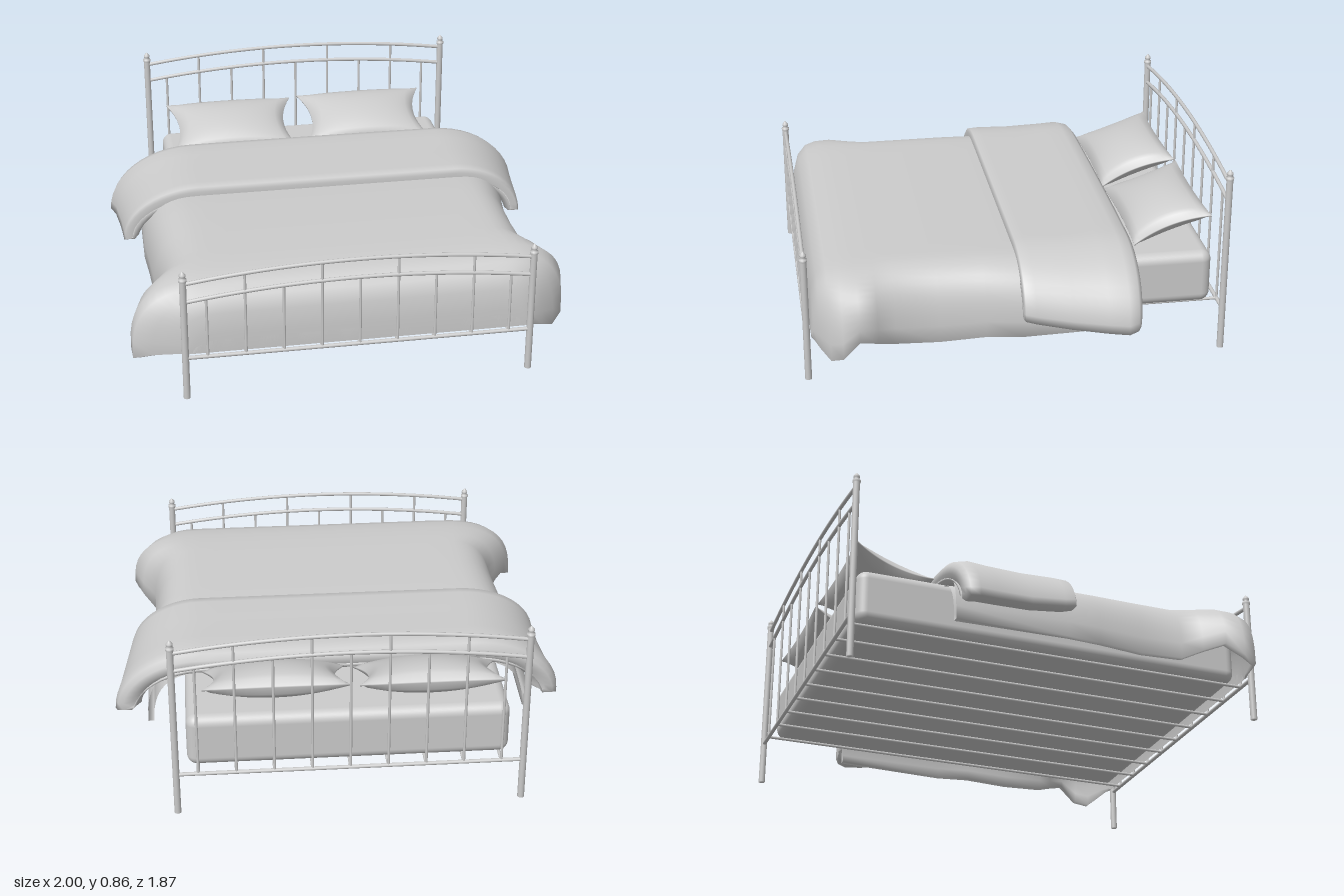
import * as THREE from 'three';
import { mergeVertices } from 'three/addons/utils/BufferGeometryUtils.js';
import { RoundedBoxGeometry } from 'three/addons/geometries/RoundedBoxGeometry.js';

const material = new THREE.MeshStandardMaterial({ color: 0xcccccc });
const clothMaterial = new THREE.MeshStandardMaterial({ color: 0xcccccc, side: THREE.DoubleSide });
const MID = -0.018; // centre line of the metal frame
const HALF = 0.747; // from the centre line to a post
const BASE = 0.195; // height of the bed base

function add(parent, name, geometry, x = 0, y = 0, z = 0, mat = material) {
  const mesh = new THREE.Mesh(geometry, mat);
  mesh.name = name;
  mesh.position.set(x, y, z);
  parent.add(mesh);
  return mesh;
}

// Post with a collar and a pointed ball on top
function postGeometry(height) {
  const h = height;
  const profile = [[0, 0], [0.015, 0], [0.015, h - 0.05], [0.018, h - 0.046], [0.018, h - 0.036], [0.009, h - 0.032],
    [0.014, h - 0.024], [0.014, h - 0.016], [0.006, h - 0.006], [0, h]];
  return new THREE.LatheGeometry(profile.map(([r, y]) => new THREE.Vector2(r, y)), 14);
}

// Head or foot end: posts, two arched rails, a base rail and upright bars
function bedEnd(name, z, height, upper, lower, rise) {
  const group = new THREE.Group();
  group.name = name;
  for (const side of [-1, 1]) add(group, 'post', postGeometry(height), MID + side * HALF, 0, z);
  for (const end of [upper, lower]) {
    const points = [];
    for (let i = -6; i <= 6; i++) {
      const s = i / 6;
      points.push(new THREE.Vector3(MID + s * HALF, end + rise * (1 - s * s), z));
    }
    add(group, 'archedRail', new THREE.TubeGeometry(new THREE.CatmullRomCurve3(points), 32, 0.009, 8), 0, 0, 0);
  }
  const baseRail = add(group, 'baseRail', new THREE.CylinderGeometry(0.009, 0.009, HALF * 2, 10), MID, BASE, z);
  baseRail.rotation.z = Math.PI / 2;
  for (let i = -4; i <= 4; i++) {
    const s = i * 0.163 / HALF;
    const top = (i % 2 ? upper : lower) + rise * (1 - s * s);
    add(group, 'uprightBar', new THREE.CylinderGeometry(0.006, 0.006, top - BASE, 8),
      MID + s * HALF, (top + BASE) / 2, z);
  }
  return group;
}

// Draped cloth. Row: z, top height, left reach, left hem, right reach, right hem,
// thickness, and how far the sides pull towards the front
function drape(rows, power) {
  const N = 40, core = 0.6;
  const positions = [], index = [];
  for (const [z, top, reachL, hemL, reachR, hemR, thick = 0.03, pull = 0] of rows) {
    for (let j = 0; j <= 2 * N + 1; j++) {
      const inner = j > N;
      const t = (inner ? 2 * N + 1 - j : j) / N * 2 - 1;
      const s = Math.abs(t);
      const reach = t < 0 ? reachL : reachR, hem = t < 0 ? hemL : hemR;
      let x = s / 0.4 * core, y = top;
      if (s > 0.4) {
        const a = (s - 0.4) / 0.6 * Math.PI / 2;
        x = core + (reach - core) * Math.sin(a) ** power;
        y = hem + (top - hem) * Math.max(0, Math.cos(a)) ** power;
      }
      if (inner) {
        x *= 1 - thick;
        y = Math.max(y - thick, Math.min(hem, y));
      }
      positions.push(Math.sign(t) * x, y, z + pull * s * s);
    }
  }
  const M = 2 * N + 2;
  for (let i = 0; i < rows.length - 1; i++) {
    for (let j = 0; j < M; j++) {
      const a = i * M + j, b = i * M + (j + 1) % M;
      index.push(a, a + M, b, b, a + M, b + M);
    }
  }
  const geometry = new THREE.BufferGeometry();
  geometry.setAttribute('position', new THREE.Float32BufferAttribute(positions, 3));
  geometry.setIndex(index);
  geometry.computeVertexNormals();
  return geometry;
}

// Pillow with pointed corners and drawn-in edges
function pillowGeometry(halfWidth, halfDepth, thickness) {
  let geometry = new THREE.BoxGeometry(2, 2, 2, 24, 1, 18);
  geometry.deleteAttribute('normal');
  geometry.deleteAttribute('uv');
  const p = geometry.attributes.position;
  for (let i = 0; i < p.count; i++) {
    const u = p.getX(i), v = p.getZ(i);
    const puff = ((1 - u * u) * (1 - v * v)) ** 0.5;
    p.setXYZ(i,
      u * halfWidth * (1 - 0.17 * (1 - v * v)),
      p.getY(i) * thickness * (0.04 + 0.96 * puff),
      v * halfDepth * (1 - 0.05 * (1 - u * u)));
  }
  geometry = mergeVertices(geometry);
  geometry.computeVertexNormals();
  return geometry;
}

export function createModel() {
  const bed = new THREE.Group();
  bed.name = 'bed';

  // Metal frame
  bed.add(bedEnd('headboard', -0.92, 0.86, 0.795, 0.71, 0.055));
  bed.add(bedEnd('footboard', 0.915, 0.61, 0.548, 0.462, 0.055));
  for (let i = -4; i <= 4; i++) {
    const bar = add(bed, 'baseBar', new THREE.CylinderGeometry(0.007, 0.007, 1.835, 8), MID + i * 0.163, BASE, -0.0025);
    bar.rotation.x = Math.PI / 2;
  }

  // Mattress
  add(bed, 'mattress', new RoundedBoxGeometry(1.39, 0.245, 1.75, 5, 0.045), -0.015, 0.3225, -0.005);

  // Duvet, flaring at the foot corners
  add(bed, 'duvet', drape([
    [-0.50, 0.47, 0.86, 0.20, 0.85, 0.20],
    [0.00, 0.50, 0.87, 0.20, 0.85, 0.19],
    [0.15, 0.505, 0.86, 0.20, 0.825, 0.19],
    [0.35, 0.507, 0.85, 0.19, 0.82, 0.18],
    [0.54, 0.507, 0.845, 0.20, 0.825, 0.19],
    [0.62, 0.506, 0.89, 0.23, 0.885, 0.23],
    [0.70, 0.502, 0.95, 0.25, 0.925, 0.26],
    [0.77, 0.495, 0.985, 0.19, 0.91, 0.18],
    [0.82, 0.48, 0.98, 0.16, 0.86, 0.15],
    [0.86, 0.445, 0.90, 0.19, 0.80, 0.18],
    [0.885, 0.38, 0.79, 0.20, 0.75, 0.20],
    [0.895, 0.29, 0.76, 0.20, 0.73, 0.20],
    [0.895, 0.205, 0.75, 0.20, 0.72, 0.20],
  ], 0.72), 0, 0, 0, clothMaterial);

  // Turned-back top of the duvet
  add(bed, 'duvetFold', drape([
    [-0.50, 0.45, 0.88, 0.29, 0.88, 0.29, 0.005, 0.02],
    [-0.525, 0.475, 0.93, 0.28, 0.92, 0.28, 0.02, 0.025],
    [-0.522, 0.51, 0.97, 0.26, 0.96, 0.26, 0.04, 0.025],
    [-0.50, 0.535, 0.99, 0.25, 0.985, 0.25, 0.06, 0.02],
    [-0.45, 0.547, 1.00, 0.25, 0.995, 0.24, 0.06, 0.01],
    [-0.36, 0.545, 0.98, 0.26, 0.98, 0.245, 0.06],
    [-0.20, 0.542, 0.965, 0.27, 0.955, 0.265, 0.06],
    [-0.05, 0.545, 0.96, 0.29, 0.93, 0.29, 0.06],
    [-0.005, 0.54, 0.96, 0.30, 0.92, 0.30, 0.05],
    [0.002, 0.52, 0.95, 0.305, 0.91, 0.305, 0.03],
    [0.00, 0.49, 0.92, 0.31, 0.88, 0.31, 0.002],
  ], 1), 0, 0, 0, clothMaterial);

  // Pillows leaning up towards the headboard
  for (const [x, y] of [[-0.37, 0.522], [0.293, 0.53]]) {
    const pillow = add(bed, 'pillow', pillowGeometry(0.313, 0.182, 0.075), x, y, -0.713);
    pillow.rotation.x = 0.33;
  }
  return bed;
}
